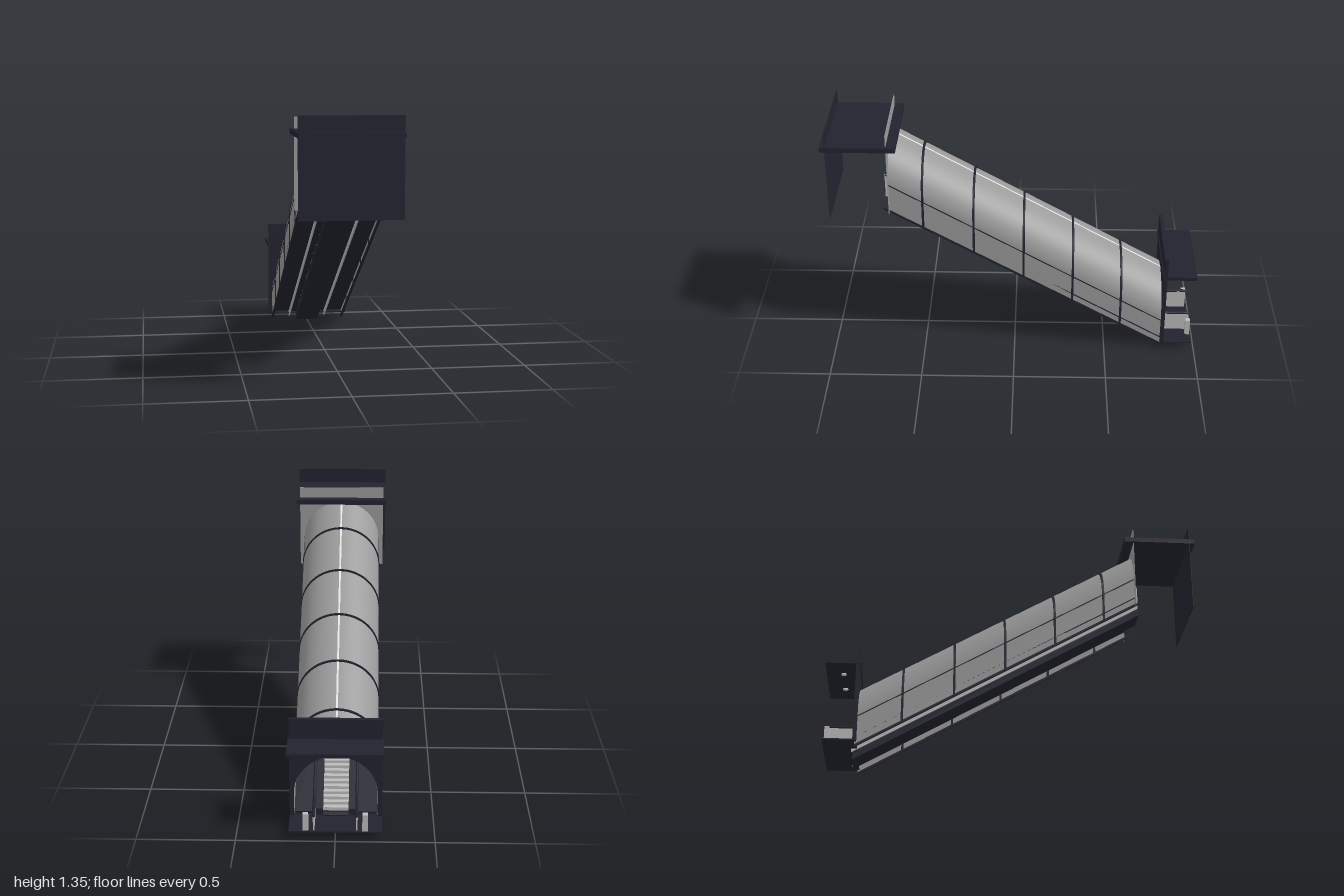
import * as THREE from 'three';
import { toCreasedNormals } from 'three/addons/utils/BufferGeometryUtils.js';

const mat = (name, color, side = THREE.FrontSide) => {
  const m = new THREE.MeshStandardMaterial({ color, side });
  m.name = name;
  return m;
};

const SLOPE = 0.577;                      // 30 degree incline
const baseY = (z) => 0.485 + SLOPE * z;   // underside of the truss
const SPRING = 0.168;                     // height of the arch springing above the base
const R = 0.215;

export function createModel() {
  const group = new THREE.Group();
  const dark = mat('dark navy metal', 0x232330, THREE.DoubleSide);
  const glass = mat('grey glass', 0x9a9a9a, THREE.DoubleSide);
  const steel = mat('light steel', 0xbcbcbc);
  const white = mat('white light', 0xeeeeee);

  const add = (name, geo, material) => {
    const mesh = new THREE.Mesh(geo, material);
    mesh.name = name;
    group.add(mesh);
    return mesh;
  };
  // Box given by its limits
  const box = (name, m, x0, x1, y0, y1, z0, z1) =>
    add(name, new THREE.BoxGeometry(x1 - x0, y1 - y0, z1 - z0)
      .translate((x0 + x1) / 2, (y0 + y1) / 2, (z0 + z1) / 2), m);
  // Lift every vertex along the incline
  const shear = (geo) => {
    const p = geo.attributes.position;
    for (let i = 0; i < p.count; i++) p.setY(i, p.getY(i) + baseY(p.getZ(i)));
    geo.computeVertexNormals();
    return geo;
  };
  // Box that follows the incline; y limits are heights above the base line
  const slopeBox = (name, m, x0, x1, y0, y1, z0, z1) =>
    shear(box(name, m, x0, x1, y0, y1, z0, z1).geometry);

  // Horseshoe-shaped ring, centred on the arch springing
  const horseshoe = (outer, inner, leg) => {
    const s = new THREE.Shape();
    s.moveTo(outer, -leg);
    s.lineTo(outer, 0);
    s.absarc(0, 0, outer, 0, Math.PI, false);
    s.lineTo(-outer, -leg);
    s.lineTo(-inner, -leg);
    s.lineTo(-inner, 0);
    s.absarc(0, 0, inner, Math.PI, 0, true);
    s.lineTo(inner, -leg);
    return s;
  };
  // Rectangular wall with an arched doorway open at the bottom
  const portal = (half, y0, y1, spring, r) => {
    const s = new THREE.Shape();
    s.moveTo(half, y0);
    s.lineTo(half, y1);
    s.lineTo(-half, y1);
    s.lineTo(-half, y0);
    s.lineTo(-r, y0);
    s.lineTo(-r, spring);
    s.absarc(0, spring, r, Math.PI, 0, true);
    s.lineTo(r, y0);
    return s;
  };
  const extrude = (shape, depth, z) =>
    new THREE.ExtrudeGeometry(shape, { depth, bevelEnabled: false, curveSegments: 32 }).translate(0, 0, z);

  // Inclined glass tunnel
  const tube = shear(extrude(horseshoe(R, R - 0.004, 0.155), 1.48, -0.82).translate(0, SPRING, 0));
  add('glassTunnel', toCreasedNormals(tube, 0.6), glass);

  // Ribs around the tunnel
  for (let i = 0; i < 5; i++) {
    const z = 0.485 - i * 0.267;
    add('tunnelRib', extrude(horseshoe(R + 0.005, R - 0.008, 0.16), 0.012, z - 0.006)
      .translate(0, baseY(z) + SPRING, 0), dark);
  }
  // Ridge light, along the crown inside and out
  slopeBox('ridgeLight', white, -0.005, 0.005, SPRING + R - 0.007, SPRING + R + 0.002, -0.81, 0.66);

  // Truss, floor and tread line
  slopeBox('truss', dark, -0.065, 0.065, 0, 0.055, -0.835, 0.7);
  slopeBox('tunnelFloor', dark, -R, R, 0.05, 0.058, -0.82, 0.66);
  const steps = 56;
  for (let i = 0; i < steps; i++) {
    const z = -0.815 + (i + 0.5) * (1.5 / steps);
    const y = baseY(z) + 0.068;
    box('step', steel, -0.065, 0.065, y - 0.018, y, z - 0.0134, z + 0.0134);
  }

  for (const s of [-1, 1]) {
    const pair = (a, b) => (s > 0 ? [a, b] : [-b, -a]);
    // Tunnel wall trim
    slopeBox('wallSeam', dark, ...pair(R - 0.003, R + 0.002), SPRING - 0.003, SPRING + 0.003, -0.82, 0.66);
    slopeBox('bottomRail', dark, ...pair(R - 0.008, R + 0.003), 0.004, 0.018, -0.82, 0.69);
    // Escalator sides
    slopeBox('skirtDeck', dark, ...pair(0.065, 0.104), 0.05, 0.085, -0.83, 0.68);
    slopeBox('balustrade', steel, ...pair(0.104, 0.112), 0.025, 0.155, -0.84, 0.69);
    box('landingBalustrade', steel, ...pair(0.104, 0.112), 0.05, 0.155, -0.975, -0.82);
    box('landingPost', steel, ...pair(0.135, 0.163), 0.05, 0.145, -0.98, -0.955);
    // Handrail, curling over at the landing
    const path = new THREE.CatmullRomCurve3([
      [0.685, baseY(0.685) + 0.158], [0, baseY(0) + 0.158], [-0.78, baseY(-0.78) + 0.158],
      [-0.84, 0.164], [-0.96, 0.162], [-0.988, 0.155], [-0.992, 0.14],
    ].map(([z, y]) => new THREE.Vector3(s * 0.108, y, z)), false, 'centripetal');
    add('handrail', new THREE.TubeGeometry(path, 60, 0.008, 8), dark);
    // Lamp under the lower canopy
    add('canopyLamp', new THREE.CylinderGeometry(0.014, 0.014, 0.008, 20)
      .translate(s * 0.1, 0.468, -0.9), white);
  }

  // Lower entrance
  add('lowerPortal', extrude(portal(0.235, 0.05, 0.6, 0.18, R - 0.002), 0.02, -0.83), dark);
  box('lowerCanopy', dark, -0.24, 0.24, 0.47, 0.49, -0.99, -0.805);
  box('landingPlate', dark, -0.235, 0.235, 0.045, 0.052, -0.985, -0.81);

  // Upper entrance
  add('upperGlassPortal', extrude(portal(0.24, 0.87, 1.335, baseY(0.66) + SPRING, R - 0.002), 0.003, 0.659), glass);
  box('upperCanopy', dark, -0.257, 0.257, 1.248, 1.275, 0.61, 1);
  box('upperFrontWall', dark, -0.257, 0.257, 0.855, 1.355, 0.969, 0.972);

  return group;
}
